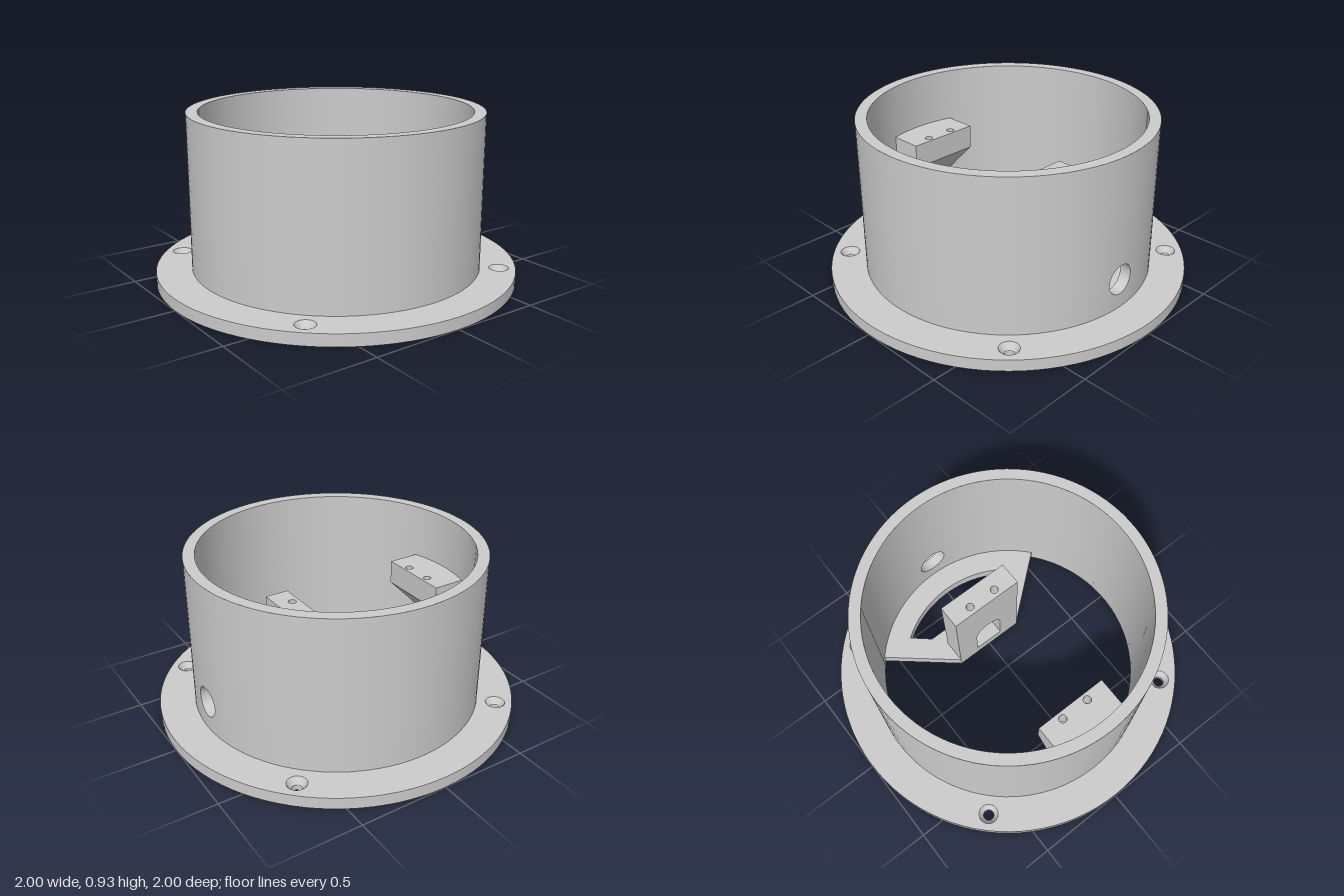
import * as THREE from 'three';
import { toCreasedNormals } from 'three/addons/utils/BufferGeometryUtils.js';

const R_FLANGE = 1, R_OUT = 0.805, R_IN = 0.742, H = 0.93, T = 0.066;
const BOLT = 0.642, HOLE_Y = 0.235, HOLE_R = 0.085, SECTOR = 0.16;
const BLOCK_TOP = 0.627, BLOCK_LOW = 0.49, HALF = 0.212;

const solid = new THREE.MeshStandardMaterial({ color: 0xcccccc });
const open = new THREE.MeshStandardMaterial({ color: 0xcccccc, side: THREE.DoubleSide });

function add(group, name, geometry, material = solid) {
  const mesh = new THREE.Mesh(geometry, material);
  mesh.name = name;
  group.add(mesh);
  return mesh;
}

function circle(x, y, r) {
  return new THREE.Path().absarc(x, y, r, 0, Math.PI * 2, true);
}

function polygon(points) {
  return new THREE.Shape(points.map(([x, y]) => new THREE.Vector2(x, y)));
}

function extrude(shape, depth, curveSegments = 48) {
  return new THREE.ExtrudeGeometry(shape, { depth, bevelEnabled: false, curveSegments });
}

// Plan outline raised from y0 to y1
function slab(shape, y0, y1, curveSegments) {
  const g = extrude(shape, y1 - y0, curveSegments).rotateX(-Math.PI / 2).translate(0, y0, 0);
  return toCreasedNormals(g, 0.5);
}

// Flange outline including the inner bridge plate and its window
function flangeShape(boltRadius) {
  const shape = new THREE.Shape().absarc(0, 0, R_FLANGE, 0, Math.PI * 2, false);
  const a = Math.atan2(0.565, 0.482);
  const opening = new THREE.Path().absarc(0, 0, R_IN, a, Math.PI * 2 - a, false);
  opening.lineTo(0.185, -HALF);
  opening.lineTo(0.185, HALF);
  opening.closePath();
  const b = Math.atan2(0.37, 0.487);
  const window = new THREE.Path().absarc(0, 0, 0.611, -b, b, false);
  window.lineTo(0.4, 0.27);
  window.lineTo(0.4, -0.27);
  window.closePath();
  shape.holes.push(opening, window);
  for (const x of [-BOLT, BOLT])
    for (const y of [-BOLT, BOLT]) shape.holes.push(circle(x, y, boltRadius));
  return shape;
}

// Curved wall panel around the round cable hole
function holedPanel(r) {
  const side = 12, n = side * 4, rings = 5;
  const w = r * Math.sin(SECTOR);
  const corners = [[w, T], [w, H], [-w, H], [-w, T]];
  const pos = [], nor = [], index = [];
  for (let i = 0; i <= n; i++) {
    const k = Math.floor(i / side) % 4, f = (i % side) / side;
    const [p, q] = [corners[k], corners[(k + 1) % 4]];
    const t = -Math.PI / 4 + (i / n) * Math.PI * 2;
    for (let j = 0; j <= rings; j++) {
      const m = j / rings;
      const s = THREE.MathUtils.lerp(HOLE_R * Math.cos(t), THREE.MathUtils.lerp(p[0], q[0], f), m);
      const y = THREE.MathUtils.lerp(HOLE_Y + HOLE_R * Math.sin(t), THREE.MathUtils.lerp(p[1], q[1], f), m);
      const x = Math.sqrt(r * r - s * s);
      pos.push(x, y, -s);
      nor.push(x / r, 0, -s / r);
      if (i < n && j < rings) {
        const a = i * (rings + 1) + j, d = a + rings + 1;
        index.push(a, a + 1, d + 1, a, d + 1, d);
      }
    }
  }
  const g = new THREE.BufferGeometry();
  g.setAttribute('position', new THREE.Float32BufferAttribute(pos, 3));
  g.setAttribute('normal', new THREE.Float32BufferAttribute(nor, 3));
  g.setIndex(index);
  return g;
}

// Lining of the cable hole, following both curved wall faces
function holeLining() {
  const g = new THREE.CylinderGeometry(HOLE_R, HOLE_R, 1, 48, 1, true).rotateZ(-Math.PI / 2);
  const p = g.attributes.position;
  for (let i = 0; i < p.count; i++) {
    const r = p.getX(i) > 0 ? R_OUT : R_IN, z = p.getZ(i);
    p.setX(i, Math.sqrt(r * r - z * z));
  }
  return g.translate(0, HOLE_Y, 0);
}

export function createModel() {
  const model = new THREE.Group();
  model.name = 'flangedHousing';

  // Flange in two layers, with countersunk bolt holes
  const flange = new THREE.Group();
  flange.name = 'flange';
  model.add(flange);
  const sink = 0.03;
  add(flange, 'flangeLower', slab(flangeShape(0.029), 0, sink));
  add(flange, 'flangeUpper', slab(flangeShape(0.054), sink, T));
  for (const x of [-BOLT, BOLT])
    for (const z of [-BOLT, BOLT]) {
      const cone = new THREE.CylinderGeometry(0.054, 0.029, T - sink, 32, 1, true);
      add(flange, 'countersink', cone, open).position.set(x, (T + sink) / 2, z);
    }

  // Tubular wall
  const wall = new THREE.Group();
  wall.name = 'wall';
  model.add(wall);
  for (const [name, r] of [['outerWall', R_OUT], ['innerWall', R_IN]]) {
    const g = new THREE.CylinderGeometry(r, r, H - T, 96, 1, true,
      Math.PI / 2 + SECTOR, Math.PI * 2 - 2 * SECTOR);
    add(wall, name, g.translate(0, (H + T) / 2, 0), open);
    add(wall, name + 'HolePanel', holedPanel(r), open);
  }
  add(wall, 'cableHole', holeLining(), open);
  add(wall, 'topRim', new THREE.RingGeometry(R_IN, R_OUT, 96).rotateX(-Math.PI / 2).translate(0, H, 0));

  // Post on the bridge plate: drilled head on a base with an arched slot
  const post = new THREE.Group();
  post.name = 'mountingPost';
  model.add(post);
  const head = polygon([[0.185, -HALF], [0.318, -HALF], [0.318, HALF], [0.185, HALF]]);
  head.holes.push(circle(0.228, -0.083, 0.022), circle(0.228, 0.083, 0.022));
  add(post, 'postHead', slab(head, BLOCK_LOW, BLOCK_TOP, 16));
  const base = polygon([[HALF, T], [HALF, BLOCK_LOW], [-HALF, BLOCK_LOW], [-HALF, T], [-HOLE_R, T]]);
  base.lineTo(-HOLE_R, HOLE_Y);
  base.absarc(0, HOLE_Y, HOLE_R, Math.PI, 0, true);
  base.lineTo(HOLE_R, T);
  const baseGeometry = extrude(base, 0.133, 24).rotateY(Math.PI / 2).translate(0.185, 0, 0);
  add(post, 'postBase', toCreasedNormals(baseGeometry, 0.5));

  // Bracket on the opposite wall: drilled head over a sloped support
  const bracket = new THREE.Group();
  bracket.name = 'wallBracket';
  model.add(bracket);
  const ledge = polygon([[-0.528, -HALF], [-0.528, HALF], [-0.75, HALF], [-0.75, -HALF]]);
  ledge.holes.push(circle(-0.565, -0.083, 0.022), circle(-0.565, 0.083, 0.022));
  add(bracket, 'bracketHead', slab(ledge, BLOCK_LOW, BLOCK_TOP, 16));
  const wedge = polygon([[-0.528, BLOCK_LOW], [-0.76, BLOCK_LOW], [-0.76, BLOCK_LOW - 0.232]]);
  add(bracket, 'bracketSupport', extrude(wedge, HALF * 2).translate(0, 0, -HALF));

  return model;
}
